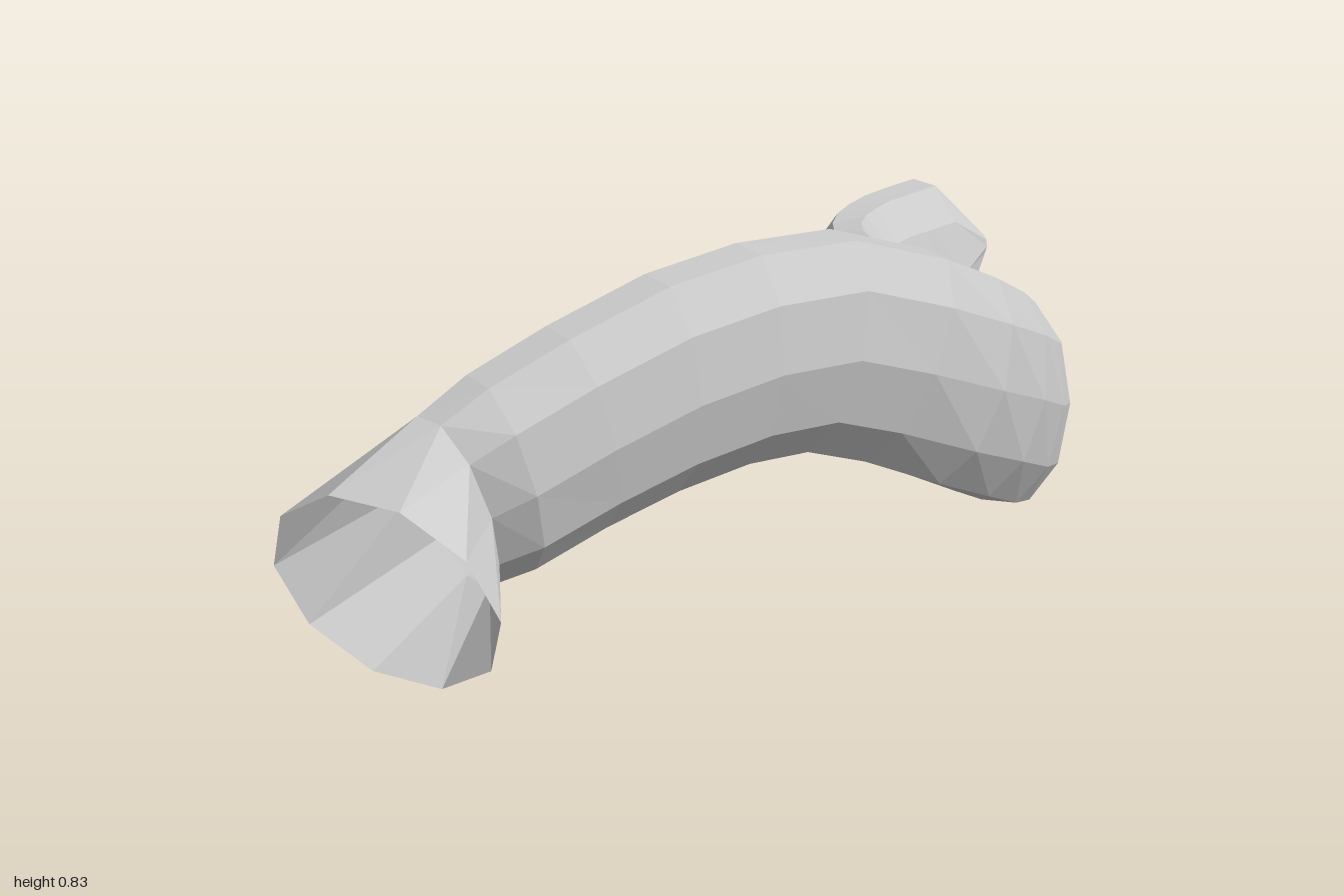
import * as THREE from 'three';

const SIDES = 10;

// Centre line from the open flared end to the pointed end: x, y, z
const PATH = [
  [-0.965, 0.64, 0.24], [-0.84, 0.675, 0.22], [-0.79, 0.69, 0.238], [-0.6, 0.722, 0.287],
  [-0.4, 0.703, 0.335], [-0.2, 0.592, 0.37], [0, 0.467, 0.317], [0.2, 0.357, 0.192],
  [0.4, 0.26, -0.048], [0.5, 0.215, -0.187], [0.6, 0.175, -0.295], [0.7, 0.148, -0.358],
  [0.8, 0.13, -0.38], [0.91, 0.116, -0.373],
].map((p) => new THREE.Vector3(...p));

// Half thickness and half height of the first three sections; the rest are constant
const RADII = [[0.122, 0.118], [0.05, 0.106], [0.06, 0.112], [0.063, 0.118]];

function ring(centre, tangent, rx, ry, lean = 0) {
  const side = new THREE.Vector3().crossVectors(tangent, new THREE.Vector3(0, 1, 0)).normalize();
  const up = new THREE.Vector3().crossVectors(side, tangent).normalize();
  return Array.from({ length: SIDES }, (_, j) => {
    const a = (j / SIDES) * Math.PI * 2;
    const v = Math.sin(a) * ry;
    return centre.clone().addScaledVector(side, Math.cos(a) * rx - v * lean).addScaledVector(up, v);
  });
}

// Joins a row of rings with quads
function loft(rings, closeEnd = false) {
  const position = rings.flat().flatMap((p) => p.toArray());
  const index = [];
  for (let i = 0; i < rings.length - 1; i++) {
    for (let j = 0; j < SIDES; j++) {
      const a = i * SIDES + j, b = i * SIDES + ((j + 1) % SIDES);
      index.push(a, a + SIDES, b, b, a + SIDES, b + SIDES);
    }
  }
  if (closeEnd) {
    const s = (rings.length - 1) * SIDES;
    for (let j = 1; j < SIDES - 1; j++) index.push(s, s + j + 1, s + j);
    // Face the closing polygon outward along the tube
    for (let k = index.length - (SIDES - 2) * 3; k < index.length; k += 3) {
      [index[k + 1], index[k + 2]] = [index[k + 2], index[k + 1]];
    }
  }
  const g = new THREE.BufferGeometry();
  g.setAttribute('position', new THREE.Float32BufferAttribute(position, 3));
  g.setIndex(index);
  const flat = g.toNonIndexed();
  flat.computeVertexNormals();
  return flat;
}

export function createModel() {
  const group = new THREE.Group();
  const material = new THREE.MeshStandardMaterial({
    color: 0xcccccc, flatShading: true, side: THREE.DoubleSide,
  });
  const add = (name, geometry) => {
    const mesh = new THREE.Mesh(geometry, material);
    mesh.name = name;
    group.add(mesh);
  };

  const curve = new THREE.CatmullRomCurve3(PATH, false, 'centripetal');
  const last = PATH.length - 1;
  const section = (k) => {
    const t = k / last;
    const i = Math.min(Math.floor(k), 2), f = Math.min(k - i, 1);
    const mix = (n) => THREE.MathUtils.lerp(RADII[i][n], RADII[i + 1][n], f);
    const lean = 0.2 * THREE.MathUtils.smoothstep(k, last - 4, last);
    return ring(curve.getPoint(t), curve.getTangent(t), mix(0), mix(1), lean);
  };

  // Open flared mouth
  add('flaredEnd', loft([section(0), section(1)]));

  // Long curved body, two sections per path point
  const body = [];
  for (let k = 1; k <= last; k += k < 2 ? 1 : 0.5) body.push(section(k));
  add('curvedBody', loft(body));

  // Blunt cone closing the other end
  const tip = ring(new THREE.Vector3(0.998, 0.118, -0.343), curve.getTangent(1), 0.01, 0.016);
  add('pointedEnd', loft([section(last), tip], true));

  return group;
}
